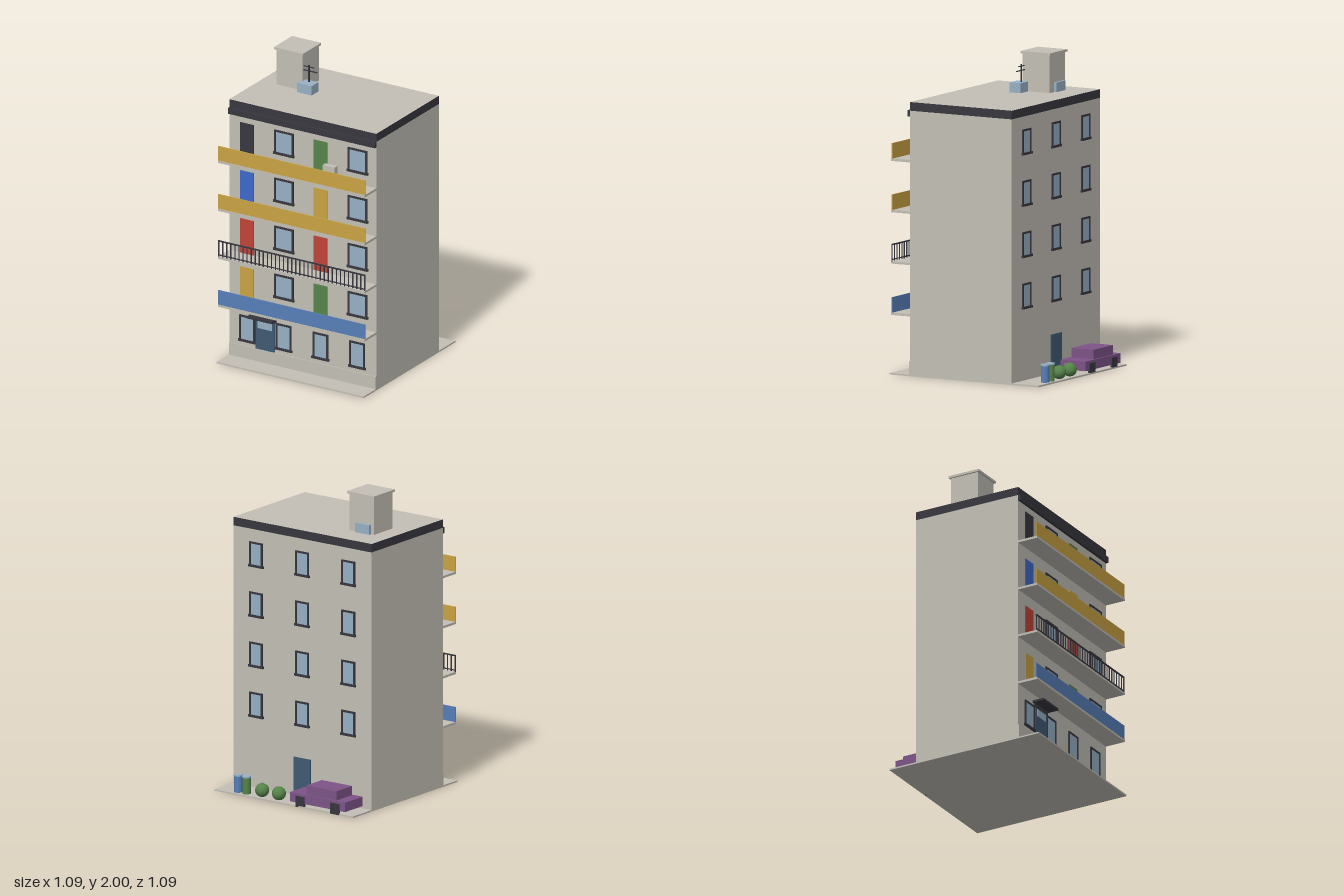
import * as THREE from 'three';

const mat = (name, color) => {
  const m = new THREE.MeshStandardMaterial({ color });
  m.name = name;
  return m;
};
const M = {
  concrete: mat('concrete', 0xc3bfb6),
  dark: mat('charcoal', 0x38373f),
  glass: mat('glass', 0x97b1c4),
  navy: mat('entranceBlue', 0x3f5a73),
  yellow: mat('yellow', 0xcaa343),
  green: mat('green', 0x56844a),
  red: mat('red', 0xbf4538),
  panelBlue: mat('panelBlue', 0x577fb8),
  blue: mat('brightBlue', 0x3d69cb),
  purple: mat('purple', 0x7d5488),
};

// Box given by its extents on each axis
function box(parent, name, material, x0, x1, y0, y1, z0, z1) {
  const mesh = new THREE.Mesh(new THREE.BoxGeometry(x1 - x0, y1 - y0, z1 - z0), material);
  mesh.position.set((x0 + x1) / 2, (y0 + y1) / 2, (z0 + z1) / 2);
  mesh.name = name;
  parent.add(mesh);
  return mesh;
}

function group(parent, name) {
  const g = new THREE.Group();
  g.name = name;
  parent.add(g);
  return g;
}

// Framed window facing +z, origin at the bottom centre on the wall
function makeWindow(parent, x, y, z, w, h, flip = false) {
  const g = group(parent, 'window');
  const f = 0.012, a = w / 2, d = 0.008;
  box(g, 'glass', M.glass, -a + f, a - f, f, h - f, 0, 0.004);
  for (const s of [-1, 1]) {
    const c = s * (a - f / 2);
    box(g, 'frameSide', M.dark, c - f / 2, c + f / 2, 0, h, 0, d);
  }
  box(g, 'frameTop', M.dark, -a + f, a - f, h - f, h, 0, d);
  box(g, 'sill', M.dark, -a - 0.006, a + 0.006, -0.003, f, 0, 0.012);
  g.position.set(x, y, z);
  if (flip) g.rotation.y = Math.PI;
}

const W = 0.545, FRONT = 0.395, BACK = -0.35;
const floorY = i => 0.395 + i * 0.3267; // top of each balcony slab

function addBody(root) {
  const g = group(root, 'building');
  box(g, 'pavement', M.concrete, -W, W, 0, 0.01, -W, W);
  box(g, 'walls', M.concrete, -W, W, 0.01, 1.69, BACK, FRONT);
  box(g, 'plinth', M.concrete, -W, W, 0.01, 0.095, FRONT, 0.402);
  const band = box(g, 'roofBand', M.dark, -W, W, 1.69, 1.745, BACK, FRONT);
  band.material = [M.dark, M.dark, M.concrete, M.dark, M.dark, M.dark];
  box(g, 'cornice', M.dark, -W, W, 1.652, 1.692, FRONT, 0.412);
}

function addFront(root) {
  const g = group(root, 'frontFacade');
  for (const x of [-0.41, -0.14, 0.133, 0.405]) makeWindow(g, x, 0.125, FRONT, 0.115, 0.175);

  // Entrance with canopy
  box(g, 'entranceDoor', M.navy, -0.345, -0.205, 0.097, 0.3, FRONT, 0.405);
  box(g, 'entranceGlass', M.glass, -0.327, -0.222, 0.24, 0.287, 0.405, 0.408);
  box(g, 'entranceLintel', M.dark, -0.355, -0.195, 0.297, 0.32, FRONT, 0.407);
  box(g, 'canopy', M.dark, -0.367, -0.18, 0.32, 0.334, FRONT, 0.475);

  // Balcony floors: left door, right door, guard
  const floors = [
    [M.yellow, M.green, M.panelBlue],
    [M.red, M.red, null],
    [M.blue, M.yellow, M.yellow],
    [M.dark, M.green, M.yellow],
  ];
  floors.forEach(([doorA, doorB, guard], i) => {
    const y = floorY(i);
    const f = group(g, 'balconyFloor');
    box(f, 'balconySlab', M.concrete, -W, W, y - 0.015, y, FRONT, 0.533);
    box(f, 'balconyDoor', doorA, -0.462, -0.362, y, y + 0.233, FRONT, 0.4);
    box(f, 'balconyDoor', doorB, 0.082, 0.184, y, y + 0.233, FRONT, 0.4);
    for (const x of [-0.138, 0.408]) makeWindow(f, x, y + 0.078, FRONT, 0.143, 0.16);
    if (guard) {
      box(f, 'balconyPanel', guard, -W, W, y, y + 0.098, 0.524, 0.53);
    } else {
      box(f, 'topRail', M.dark, -W, W, y + 0.102, y + 0.11, 0.523, 0.531);
      box(f, 'bottomRail', M.dark, -W, W, y + 0.008, y + 0.014, 0.524, 0.53);
      const n = 36;
      for (let k = 0; k <= n; k++) {
        const x = -W + 0.003 + k * (2 * W - 0.006) / n;
        box(f, 'railBar', M.dark, x - 0.003, x + 0.003, y, y + 0.104, 0.5245, 0.5295);
      }
    }
  });

  // Air conditioner on the top floor
  box(g, 'airConditioner', M.concrete, 0.172, 0.26, 1.4, 1.467, 0.4, 0.436);
  for (const x of [0.18, 0.246]) box(g, 'airBracket', M.dark, x, x + 0.008, 1.394, 1.4, FRONT, 0.439);
}

function addBack(root) {
  const g = group(root, 'backFacade');
  for (let i = 0; i < 4; i++)
    for (const x of [-0.364, 0, 0.364]) makeWindow(g, x, floorY(i) + 0.073, BACK, 0.105, 0.16, true);
  box(g, 'backDoor', M.navy, -0.066, 0.066, 0.01, 0.26, -0.357, BACK);
}

function addRoof(root) {
  const g = group(root, 'roof');
  box(g, 'stairHouse', M.concrete, -0.424, -0.231, 1.745, 1.985, -0.166, 0.029);
  box(g, 'stairHouseCap', M.concrete, -0.435, -0.22, 1.985, 2, -0.177, 0.04);
  box(g, 'roofHatch', M.glass, -0.4, -0.29, 1.745, 1.807, -0.183, -0.166);
  box(g, 'roofUnit', M.glass, -0.246, -0.137, 1.745, 1.808, -0.01, 0.07);
  box(g, 'antennaMast', M.dark, -0.194, -0.187, 1.805, 1.922, 0.012, 0.019);
  box(g, 'antennaBar', M.dark, -0.228, -0.153, 1.907, 1.912, 0.013, 0.018);
  box(g, 'antennaBar', M.dark, -0.243, -0.131, 1.879, 1.885, 0.012, 0.018);
}

function addYard(root) {
  const g = group(root, 'backYard');

  // Parked car
  const car = group(g, 'car');
  box(car, 'carBody', M.purple, -0.48, -0.046, 0.027, 0.088, -0.54, -0.356);
  box(car, 'carCabin', M.purple, -0.404, -0.166, 0.088, 0.148, -0.529, -0.367);
  for (const x of [-0.4, -0.126])
    for (const z of [-0.539, -0.357])
      box(car, 'wheel', M.dark, x - 0.035, x + 0.035, 0, 0.072, z - 0.006, z + 0.006);

  // Shrubs with a small blossom each
  [[0.075, M.yellow], [0.207, M.purple]].forEach(([x, blossom]) => {
    const geo = new THREE.IcosahedronGeometry(0.045, 2);
    const m = new THREE.MeshStandardMaterial();
    m.copy(M.green);
    const shrub = new THREE.Mesh(geo, M.green);
    shrub.name = 'shrub';
    shrub.position.set(x, 0.05, -0.497);
    g.add(shrub);
    box(g, 'blossom', blossom, x + 0.01, x + 0.02, 0.083, 0.089, -0.478, -0.47);
  });

  // Bins
  [[0.325, M.green], [0.391, M.panelBlue]].forEach(([x, body]) => {
    const part = (name, material, r, h, y) => {
      const mesh = new THREE.Mesh(new THREE.CylinderGeometry(r, r, h, 16), material);
      mesh.name = name;
      mesh.position.set(x, y, -0.503);
      g.add(mesh);
    };
    part('bin', body, 0.027, 0.105, 0.0625);
    part('binLid', M.glass, 0.029, 0.01, 0.12);
  });
}

export function createModel() {
  const root = new THREE.Group();
  root.name = 'apartmentBlock';
  addBody(root);
  addFront(root);
  addBack(root);
  addRoof(root);
  addYard(root);
  return root;
}
